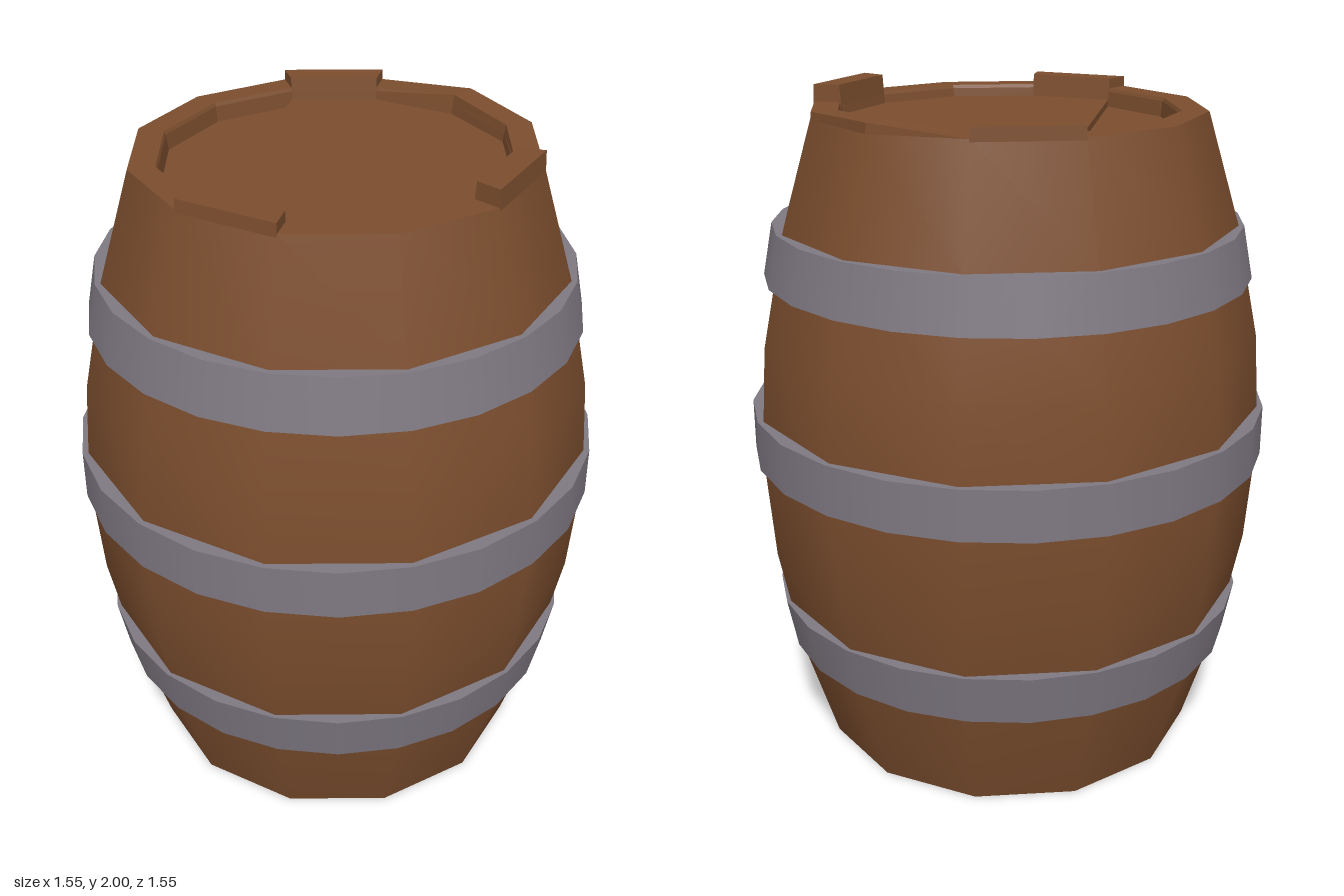
import * as THREE from 'three';
import { toCreasedNormals } from 'three/addons/utils/BufferGeometryUtils.js';

const SIDES = 12;
const STEP = (Math.PI * 2) / SIDES;

export function createModel() {
  const wood = new THREE.MeshStandardMaterial({ color: 0x7c4e2e });
  wood.name = 'wood';
  const iron = new THREE.MeshStandardMaterial({ color: 0x7f7982 });
  iron.name = 'iron';

  const barrel = new THREE.Group();
  barrel.name = 'barrel';
  const add = (name, geometry, material) => {
    const mesh = new THREE.Mesh(geometry, material);
    mesh.name = name;
    barrel.add(mesh);
    return mesh;
  };
  const lathe = (points, sides) =>
    new THREE.LatheGeometry(points.map(([r, y]) => new THREE.Vector2(r, y)), sides);

  // Bulging twelve-sided body
  const profile = [
    [0.577, 0], [0.678, 0.325], [0.742, 0.65], [0.767, 0.975],
    [0.744, 1.3], [0.676, 1.625], [0.577, 1.95],
  ];
  add('body', lathe(profile, SIDES), wood);

  // Recessed bottom with its rim
  const bottom = lathe([[0, 0.04], [0.485, 0.04], [0.5, 0], [0.577, 0]], SIDES);
  add('bottom', toCreasedNormals(bottom, 0.3), wood);

  // Uneven stave ends: a box bent into one rim sector, with a height at each end
  const rimSector = (index, startTop, endTop) => {
    const geometry = new THREE.BoxGeometry(1, 1, 1, 1, 2, 1).toNonIndexed();
    const position = geometry.attributes.position;
    for (let i = 0; i < position.count; i++) {
      const atEnd = position.getX(i) > 0;
      const level = Math.round(position.getY(i) * 2) + 1; // 0 bottom, 1 middle, 2 top
      const outer = position.getZ(i) > 0;
      const phi = (index + (atEnd ? 1 : 0)) * STEP;
      const y = [1.86, 1.94, atEnd ? endTop : startTop][level];
      const r = outer ? [0.56, 0.5795, 0.577][level] : [0.485, 0.495, 0.5][level];
      position.setXYZ(i, r * Math.sin(phi), y, r * Math.cos(phi));
    }
    geometry.computeVertexNormals();
    return geometry;
  };
  const raised = {
    2: [2, 2], 3: [1.95, 1.964], 4: [1.964, 1.972],
    5: [1.972, 1.95], 6: [1.98, 1.98], 11: [1.98, 1.98],
  };
  for (let i = 0; i < SIDES; i++) {
    const [startTop, endTop] = raised[i] ?? [1.95, 1.95];
    add(`rimStave${i + 1}`, rimSector(i, startTop, endTop), wood);
  }

  // Lid boards, cut from the same polygon, one set lower than the other
  const lidBoard = (name, first, last, top) => {
    const outline = [];
    for (let i = first; i <= last; i++) {
      outline.push(new THREE.Vector2(0.493 * Math.sin(i * STEP), -0.493 * Math.cos(i * STEP)));
    }
    const geometry = new THREE.ExtrudeGeometry(new THREE.Shape(outline), {
      depth: 0.05, bevelEnabled: false,
    });
    geometry.rotateX(-Math.PI / 2);
    add(name, geometry, wood).position.y = top - 0.05;
  };
  lidBoard('lidMainBoard', -1, 7, 1.915);
  lidBoard('lidSideBoard', 7, 11, 1.895);

  // Three hoops, following the slope of the body
  const hoops = [
    ['lowerHoop', 0.33, 0.485, 0.692, 0.722],
    ['middleHoop', 0.928, 1.078, 0.777, 0.777],
    ['upperHoop', 1.472, 1.626, 0.722, 0.692],
  ];
  for (const [name, low, high, rLow, rHigh] of hoops) {
    const hoop = new THREE.CylinderGeometry(rHigh, rLow, high - low, 24);
    add(name, hoop, iron).position.y = (low + high) / 2;
  }

  return barrel;
}
